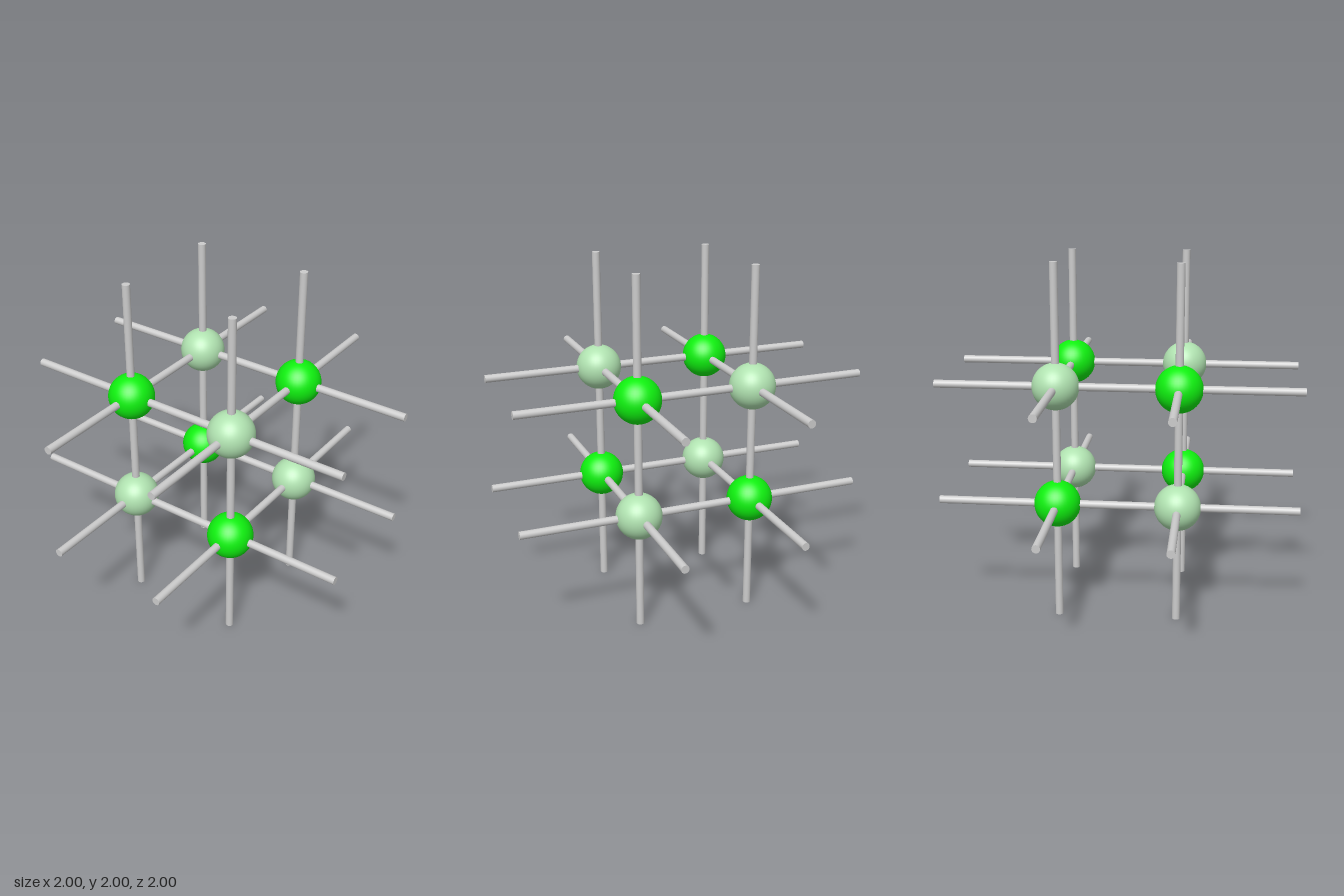
import * as THREE from 'three';

export function createModel() {
  const group = new THREE.Group();
  group.name = 'crystalLattice';

  const spacing = 0.333; // distance of each lattice point from the centre planes
  const centerY = 1;
  const signs = [-1, 1];

  const rodMaterial = new THREE.MeshStandardMaterial({ color: 0xcccccc });
  const brightMaterial = new THREE.MeshStandardMaterial({ color: 0x0ff00f });
  const paleMaterial = new THREE.MeshStandardMaterial({ color: 0xb0e2b0 });

  const atomGeometry = new THREE.SphereGeometry(0.129, 40, 28);
  const rodGeometry = new THREE.CylinderGeometry(0.022, 0.022, 2, 20);

  // Atoms: the two kinds alternate over the eight corners of a cube
  for (const x of signs) for (const y of signs) for (const z of signs) {
    const bright = x * y * z > 0;
    const atom = new THREE.Mesh(atomGeometry, bright ? brightMaterial : paleMaterial);
    atom.name = bright ? 'brightAtom' : 'paleAtom';
    atom.position.set(x * spacing, centerY + y * spacing, z * spacing);
    group.add(atom);
  }

  // Bonds: four full-length rods along each axis, passing through the atoms
  const addRod = (name, x, y, z, rx, rz) => {
    const rod = new THREE.Mesh(rodGeometry, rodMaterial);
    rod.name = name;
    rod.position.set(x, centerY + y, z);
    rod.rotation.set(rx, 0, rz);
    group.add(rod);
  };
  for (const a of signs) for (const b of signs) {
    const p = a * spacing, q = b * spacing;
    addRod('crossBond', 0, p, q, 0, Math.PI / 2);
    addRod('uprightBond', p, 0, q, 0, 0);
    addRod('depthBond', p, q, 0, Math.PI / 2, 0);
  }

  return group;
}
